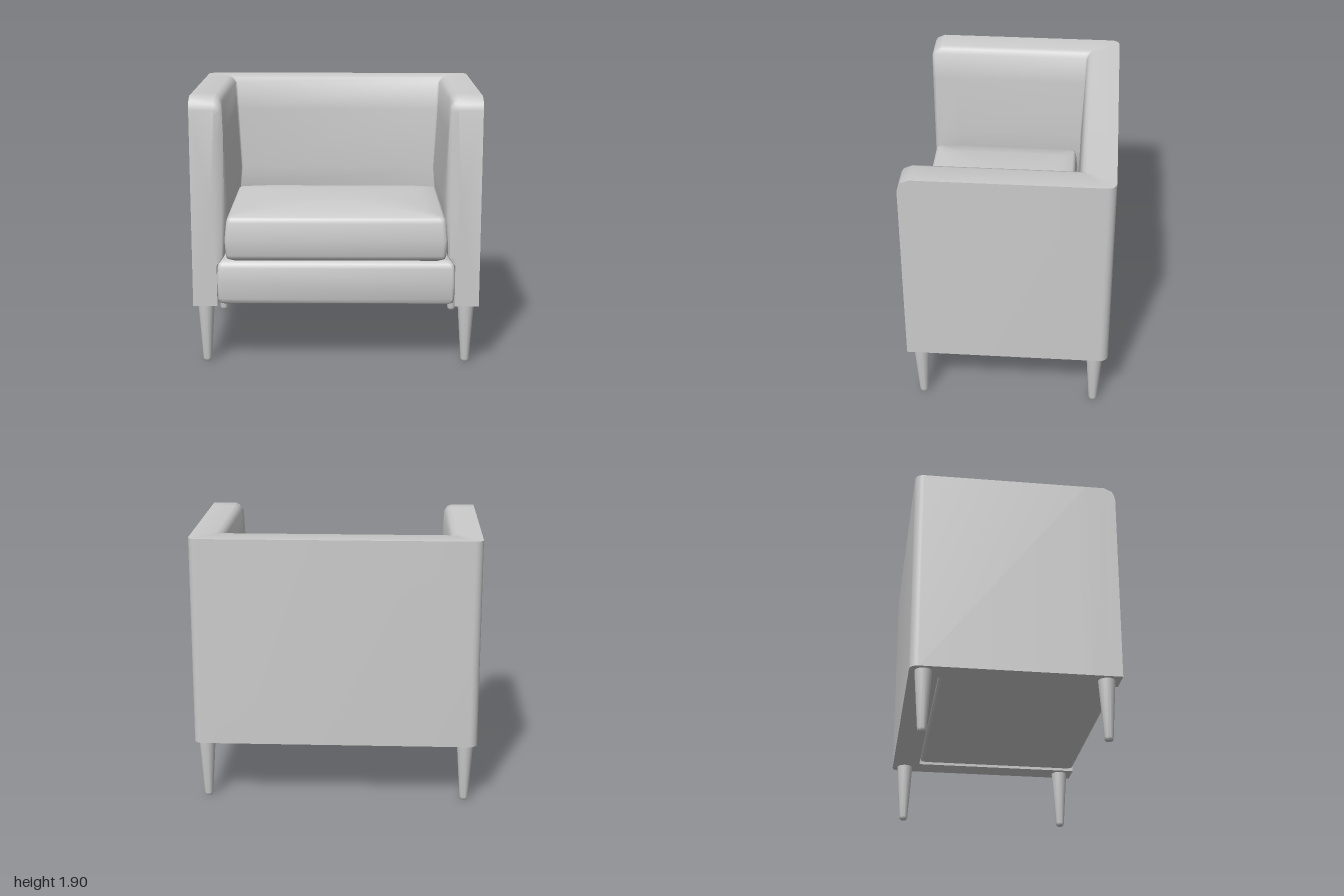
import * as THREE from 'three';
import { toCreasedNormals } from 'three/addons/utils/BufferGeometryUtils.js';

const material = new THREE.MeshStandardMaterial({ color: 0xcccccc });

// Skins closed loops of equal length and closes both ends with a fan
function loft(loops, crease) {
  const n = loops[0].length, pos = [], idx = [];
  loops.forEach(l => l.forEach(p => pos.push(...p)));
  for (let i = 0; i < loops.length - 1; i++) {
    for (let j = 0; j < n; j++) {
      const k = (j + 1) % n, a = i * n, b = a + n;
      idx.push(a + j, b + j, b + k, a + j, b + k, a + k);
    }
  }
  [0, loops.length - 1].forEach((i, end) => {
    const c = pos.length / 3;
    pos.push(...[0, 1, 2].map(m => loops[i].reduce((s, p) => s + p[m], 0) / n));
    for (let j = 0; j < n; j++) {
      const a = i * n + j, b = i * n + (j + 1) % n;
      idx.push(c, end ? b : a, end ? a : b);
    }
  });
  const g = new THREE.BufferGeometry();
  g.setAttribute('position', new THREE.Float32BufferAttribute(pos, 3));
  g.setIndex(idx);
  return toCreasedNormals(g, crease);
}

// Rounded rectangle at height y, turning from +x towards +z so stacks face outward
function ring(y, hx, hz, cz, r) {
  const pts = [];
  for (let q = 0; q < 4; q++) {
    const sx = q === 0 || q === 3 ? 1 : -1, sz = q < 2 ? 1 : -1;
    for (let k = 0; k <= 6; k++) {
      const a = (q + k / 6) * Math.PI / 2;
      pts.push([sx * (hx - r) + r * Math.cos(a), y, cz + sz * (hz - r) + r * Math.sin(a)]);
    }
  }
  return pts;
}

// Upholstered U: [depth inward from the outer wall, height]
const wall = [
  [0, 0.43], [0, 1.9], [0.17, 1.9], [0.2, 1.887], [0.222, 1.855], [0.232, 1.65],
  [0.257, 1.2], [0.243, 1.05], [0.22, 0.78], [0.17, 0.72], [0.17, 0.43],
];

function shellGeometry() {
  const half = [];
  // Arm front: [z, top height, greatest padding depth]
  [[0.71, 1.81, 0.17], [0.7, 1.85, 0.21], [0.685, 1.875, 0.23], [0.63, 1.9, 0.245], [0.5, 1.9, 0.26]]
    .forEach(([z, top, dMax]) => half.push(wall.map(([d, y]) =>
      [1 - Math.min(d, dMax), y > 1.7 ? y - 1.9 + top : y, z])));
  // Back corner: round outside, nearly square inside, with a thicker back
  for (let k = 0; k <= 6; k++) {
    const a = k / 6 * Math.PI / 2;
    half.push(wall.map(([d, y]) => {
      const r = d ? 0.015 : 0.06, depth = d ? 0.2 + (d - 0.17) * 0.78 : 0;
      return [1 - d - r + r * Math.cos(a), y, -0.71 + depth + r - r * Math.sin(a)];
    }));
  }
  const mirrored = half.map(l => l.map(([x, y, z]) => [-x, y, z])).reverse();
  return loft([...half, ...mirrored], 0.85);
}

export function createModel() {
  const model = new THREE.Group();
  const add = (name, geometry) => {
    const mesh = new THREE.Mesh(geometry, material);
    mesh.name = name;
    model.add(mesh);
    return mesh;
  };

  add('armsAndBack', shellGeometry());

  // Seat base: [height, inset]
  const base = [[0.44, 0.03], [0.45, 0.012], [0.48, 0.004], [0.6, 0], [0.7, 0.004], [0.73, 0.012], [0.75, 0.035]];
  add('seatBase', loft(base.map(([y, i]) => ring(y, 0.832 - i, 0.61 - i, 0.1, 0.025)), 0.85));

  // Seat cushion: soft sides, then a gently crowned top with rounder inner rings
  const sides = [[0.75, 0.04], [0.765, 0.015], [0.79, 0.006], [0.9, 0], [1.02, 0.012], [1.05, 0.02], [1.06, 0.035]];
  const cushion = sides.map(([y, i]) => ring(y, 0.775 - i, 0.565 - i, 0.142, 0.03));
  [[0.85, 1.083, 0.1], [0.6, 1.108, 0.2], [0.37, 1.12, 0.18]].forEach(([f, y, r]) =>
    cushion.push(ring(y, 0.74 * f, 0.53 * f, 0.142, r)));
  add('seatCushion', loft(cushion, 0.9));

  // Tapered legs with a softened foot
  const legProfile = [[0, 0], [0.022, 0], [0.028, 0.006], [0.031, 0.02], [0.059, 0.44]];
  const leg = toCreasedNormals(
    new THREE.LatheGeometry(legProfile.map(([x, y]) => new THREE.Vector2(x, y)), 24), 0.7);
  for (const [side, x] of [['Left', 0.917], ['Right', -0.917]]) {
    for (const [end, z] of [['front', 0.615], ['back', -0.615]]) {
      add(end + side + 'Leg', leg).position.set(x, 0, z);
    }
  }
  return model;
}
